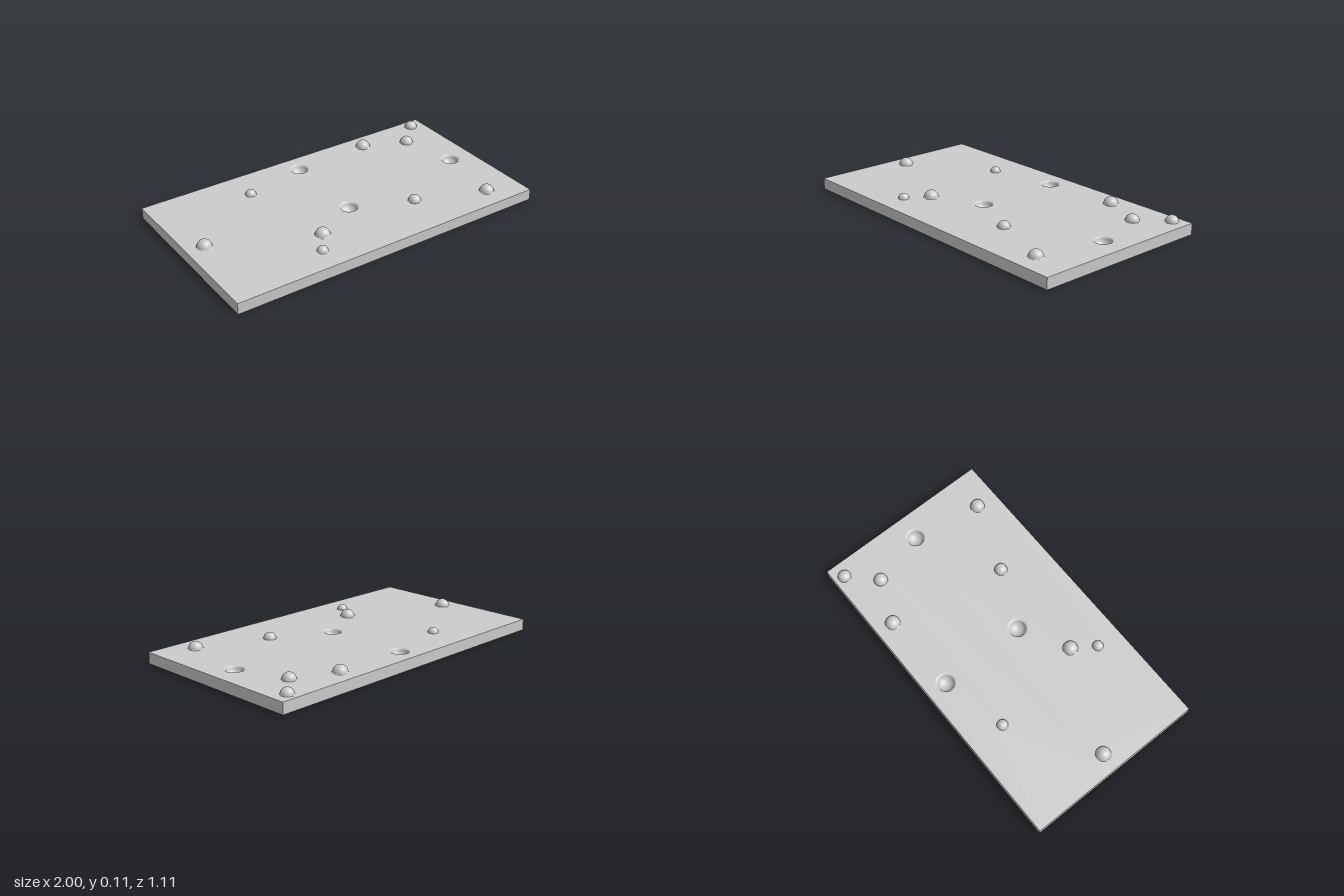
import * as THREE from 'three';

const W = 2, D = 1.11, TOP = 0.068, SEGMENTS = 48;

// x, z, dome radius, fillet radius
const BUMPS = [
  [-0.89, 0, 0.044, 0.005], [0.49, -0.445, 0.044, 0.005], [-0.29, 0.265, 0.044, 0.005],
  [0.775, 0.42, 0.043, 0.005], [0.755, -0.335, 0.041, 0.004], [0.91, -0.49, 0.039, 0.004],
  [0.355, 0.265, 0.038, 0.004], [-0.4, -0.335, 0.032, 0.004], [-0.38, 0.4, 0.032, 0.004],
];
const BOWLS = [
  [0, -0.43, 0.05, 0.014], [0, 0.105, 0.05, 0.014], [0.845, -0.005, 0.05, 0.014],
];

// Radius where the fillet runs out into the flat top
const rimRadius = (r, f) => Math.sqrt(r * r + 2 * r * f);

// Hemisphere blended into the flat top by a fillet; sign +1 is a dome, -1 a bowl
function roundFeature(r, f, sign) {
  const rim = rimRadius(r, f);
  const start = Math.atan2(f, rim);
  const points = [];
  for (let i = 0; i <= 6; i++) {
    const a = (i / 6) * (Math.PI / 2 - start);
    points.push(new THREE.Vector2(rim - f * Math.sin(a), sign * f * (1 - Math.cos(a))));
  }
  for (let i = 1; i <= 14; i++) {
    const a = start + (i / 14) * (Math.PI / 2 - start);
    points.push(new THREE.Vector2(Math.max(0, r * Math.cos(a)), sign * r * Math.sin(a)));
  }
  return new THREE.LatheGeometry(points, SEGMENTS);
}

export function createModel() {
  const model = new THREE.Group();
  model.name = 'course';
  const material = new THREE.MeshStandardMaterial({ color: 0xcccccc });
  const add = (name, geometry, x = 0, y = 0, z = 0) => {
    const mesh = new THREE.Mesh(geometry, material);
    mesh.name = name;
    mesh.position.set(x, y, z);
    model.add(mesh);
  };

  // Slab sides and underside: a box without its top face
  const slab = new THREE.BoxGeometry(W, TOP, D);
  const index = Array.from(slab.index.array);
  index.splice(12, 6);
  slab.setIndex(index);
  slab.clearGroups();
  add('slab', slab, 0, TOP / 2, 0);

  // Flat top, cut open under every bump and bowl
  const shape = new THREE.Shape([
    new THREE.Vector2(-W / 2, -D / 2), new THREE.Vector2(W / 2, -D / 2),
    new THREE.Vector2(W / 2, D / 2), new THREE.Vector2(-W / 2, D / 2),
  ]);
  for (const [x, z, r, f] of [...BUMPS, ...BOWLS]) {
    const hole = [];
    for (let i = 0; i < SEGMENTS; i++) {
      const a = (-i / SEGMENTS) * Math.PI * 2;
      hole.push(new THREE.Vector2(x + rimRadius(r, f) * Math.cos(a), -z + rimRadius(r, f) * Math.sin(a)));
    }
    shape.holes.push(new THREE.Path(hole));
  }
  add('topSurface', new THREE.ShapeGeometry(shape).rotateX(-Math.PI / 2), 0, TOP, 0);

  // Raised domes and sunken bowls
  BUMPS.forEach(([x, z, r, f], i) => add(`bump${i + 1}`, roundFeature(r, f, 1), x, TOP, z));
  BOWLS.forEach(([x, z, r, f], i) => add(`bowl${i + 1}`, roundFeature(r, f, -1), x, TOP, z));

  return model;
}
